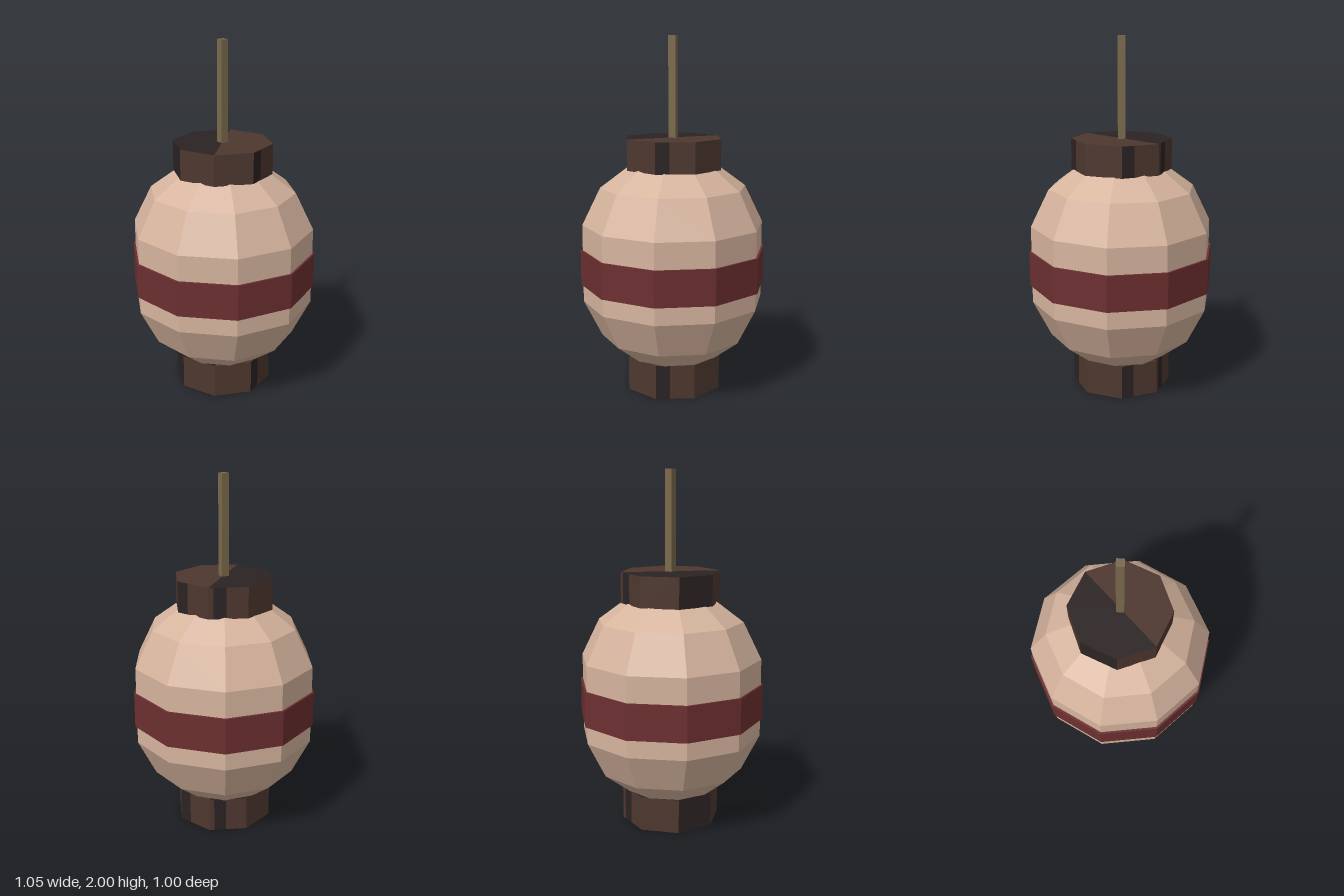
import * as THREE from 'three';

const mat = (name, color, extra = {}) => {
  const m = new THREE.MeshStandardMaterial({ color, flatShading: true, ...extra });
  m.name = name;
  return m;
};

// Point on an eight-sided outline; t runs 0..8 from +z towards +x
function rim(t, r, y) {
  const corner = (k) => new THREE.Vector3(Math.sin(k * Math.PI / 4) * r, y, Math.cos(k * Math.PI / 4) * r);
  const k = Math.floor(t);
  return corner(k).lerp(corner(k + 1), t - k);
}

// Wooden collar: side panels and half discs grouped by colour
function collarGeometry(r, y0, y1, darkSpans) {
  const sets = [[], []];
  const tri = (set, ...pts) => pts.forEach((p) => sets[set].push(p.x, p.y, p.z));
  const stops = [...new Set([0, 1, 2, 3, 4, 5, 6, 7, 8, ...darkSpans.flat()])].sort((a, b) => a - b);
  for (let i = 0; i < stops.length - 1; i++) {
    const a = stops[i], b = stops[i + 1], mid = (a + b) / 2;
    const set = darkSpans.some(([s, e]) => mid > s && mid < e) ? 1 : 0;
    const [al, bl, ah, bh] = [rim(a, r, y0), rim(b, r, y0), rim(a, r, y1), rim(b, r, y1)];
    tri(set, al, bl, bh, al, bh, ah);
    const half = mid > 4 ? 1 : 0;
    tri(half, new THREE.Vector3(0, y1, 0), ah, bh);
    tri(half, new THREE.Vector3(0, y0, 0), bl, al);
  }
  const geo = new THREE.BufferGeometry();
  geo.setAttribute('position', new THREE.Float32BufferAttribute(sets.flat(), 3));
  geo.addGroup(0, sets[0].length / 3, 0);
  geo.addGroup(sets[0].length / 3, sets[1].length / 3, 1);
  geo.computeVertexNormals();
  return geo;
}

export function createModel() {
  const model = new THREE.Group();
  model.name = 'paperLantern';
  const paper = mat('paper', 0xd6b49e);
  const red = mat('darkRed', 0x6c2f30);
  const brown = mat('brownWood', 0x4e372f);
  const dark = mat('darkWood', 0x2c2323);
  const cord = mat('cord', 0x7b694c);
  const add = (name, geo, material) => {
    const mesh = new THREE.Mesh(geo, material);
    mesh.name = name;
    model.add(mesh);
    return mesh;
  };

  // Ten-sided paper shade
  const profile = [
    [0, 0.18], [0.25, 0.18], [0.412, 0.305], [0.515, 0.51],
    [0.515, 0.955], [0.412, 1.165], [0.25, 1.285], [0, 1.285],
  ].map(([x, y]) => new THREE.Vector2(x, y));
  add('shade', new THREE.LatheGeometry(profile, 10, Math.PI / 2), paper);

  // Band around the middle
  const band = new THREE.CylinderGeometry(0.527, 0.527, 0.2, 10, 1, false, Math.PI / 2);
  add('band', band, red).position.y = 0.71;

  // Collars above and below
  const darkSpans = [[1, 1.36], [3, 3.33], [4.13, 4.45], [6, 7]];
  add('topCollar', collarGeometry(0.28, 1.27, 1.442, darkSpans), [brown, dark]);
  add('bottomCollar', collarGeometry(0.28, 0, 0.195, darkSpans), [brown, dark]);

  // Hanging cord
  add('hangingCord', new THREE.CylinderGeometry(0.03, 0.03, 0.58, 4), cord).position.y = 1.71;

  return model;
}
